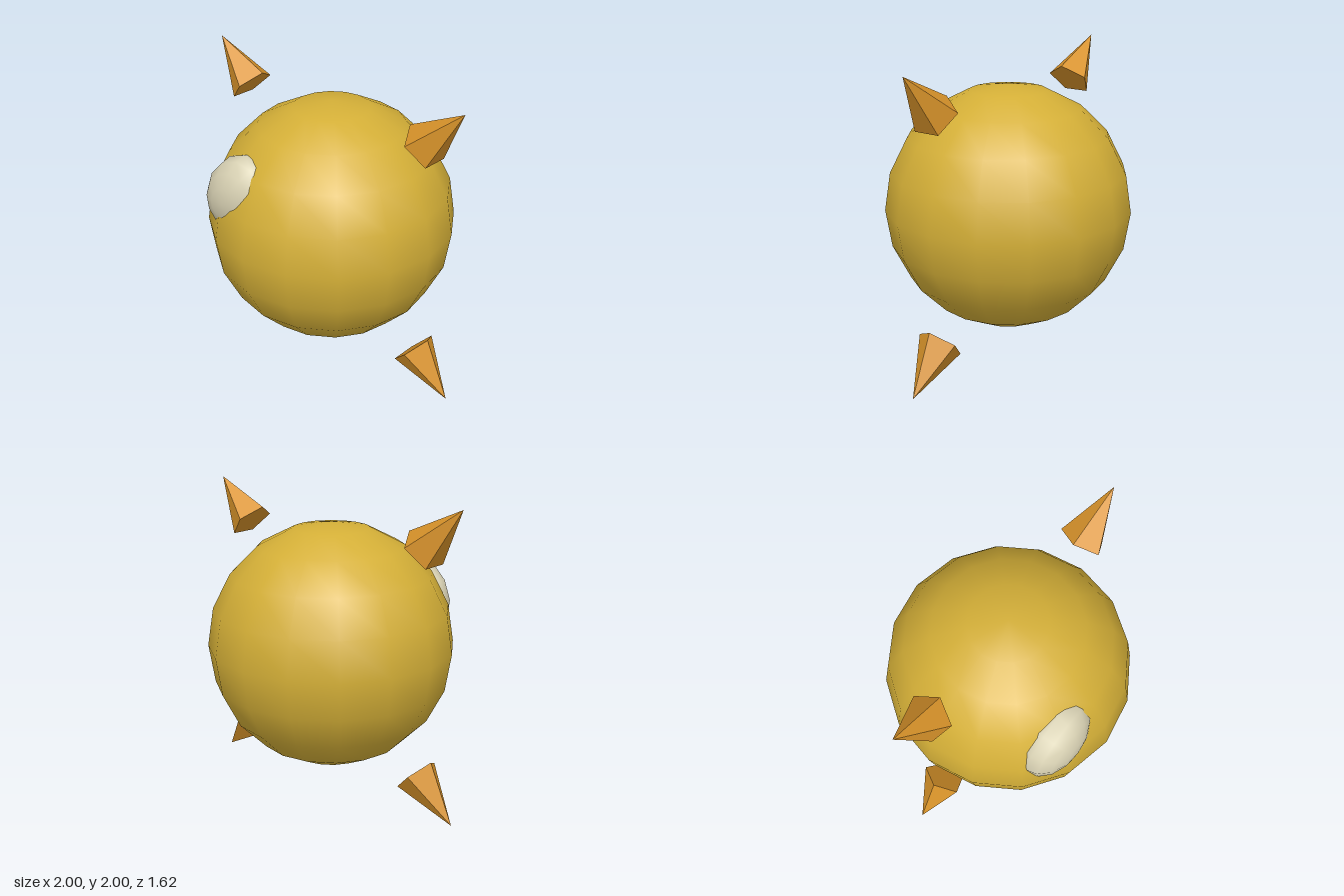
import * as THREE from 'three';

const material = (name, color, flatShading = false) => {
  const m = new THREE.MeshStandardMaterial({ color, flatShading });
  m.name = name;
  return m;
};

export function createModel() {
  const group = new THREE.Group();
  const gold = material('gold', 0xd4af37);
  const amber = material('amber', 0xd8932a, true);
  const cream = material('cream', 0xd9d2b4);

  const add = (name, geometry, mat) => {
    const mesh = new THREE.Mesh(geometry, mat);
    mesh.name = name;
    group.add(mesh);
    return mesh;
  };

  // Round body
  add('body', new THREE.SphereGeometry(0.81, 16, 10), gold).position.y = 1.0;

  // Pale oval highlight, half sunk into the upper front
  const oval = new THREE.SphereGeometry(1, 12, 8);
  oval.rotateY(Math.PI / 12).rotateX(Math.PI / 2).scale(0.31, 0.247, 0.193);
  const highlight = add('highlight', oval, cream);
  highlight.position.set(-0.245, 1.28, 0.552);
  highlight.rotation.z = Math.PI / 4;

  // Four five-sided spikes pointing out to the corners
  const height = 0.39;
  const spike = new THREE.ConeGeometry(0.15, height, 5);
  for (const sx of [-1, 1]) {
    for (const sy of [-1, 1]) {
      const axis = new THREE.Vector3(sx, sy, 0).normalize();
      const ridge = new THREE.Vector3(-sx * sy, 1, 0).normalize();
      const side = new THREE.Vector3().crossVectors(axis, ridge);
      const mesh = add((sy > 0 ? 'upper' : 'lower') + (sx > 0 ? 'Left' : 'Right') + 'Spike', spike, amber);
      mesh.quaternion.setFromRotationMatrix(new THREE.Matrix4().makeBasis(side, axis, ridge));
      mesh.position.set(sx, 1 + sy, 0).addScaledVector(axis, -height / 2);
    }
  }
  return group;
}
